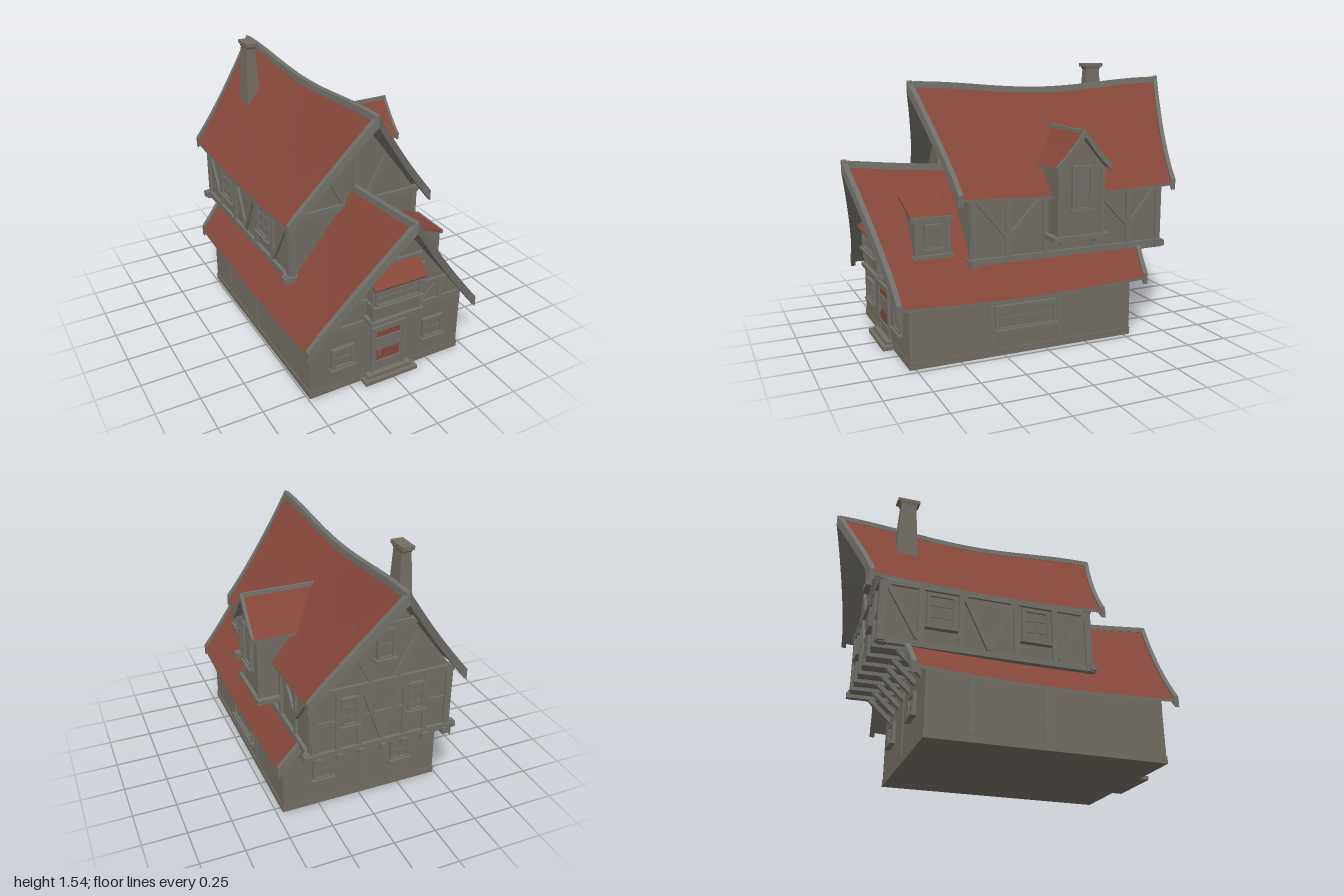
import * as THREE from 'three';

const mat = (name, color) => Object.assign(new THREE.MeshStandardMaterial({ color }), { name });
const CX = -0.013; // house centre line

export function createModel() {
  const wall = mat('plaster', 0x746e63);
  const timber = mat('timber', 0x72706a);
  const red = mat('roofTiles', 0x86473a);
  const house = new THREE.Group();
  house.name = 'house';

  const add = (parent, name, geo, material, x = 0, y = 0, z = 0) => {
    const m = new THREE.Mesh(geo, material);
    m.name = name;
    m.position.set(x, y, z);
    parent.add(m);
    return m;
  };
  const box = (p, name, w, h, d, x, y, z, m = timber) => add(p, name, new THREE.BoxGeometry(w, h, d), m, x, y, z);
  // straight timber between two points of a facade plane
  const beam = (p, name, x1, y1, x2, y2, w = 0.03, d = 0.03, z = 0) => {
    const b = box(p, name, Math.hypot(x2 - x1, y2 - y1), w, d, (x1 + x2) / 2, (y1 + y2) / 2, z);
    b.rotation.z = Math.atan2(y2 - y1, x2 - x1);
    return b;
  };
  // group whose local +z points out of a wall
  const face = (name, x, z, rot) => {
    const g = new THREE.Group();
    g.name = name;
    g.position.set(x, 0, z);
    g.rotation.y = rot;
    house.add(g);
    return g;
  };
  const prism = (p, name, pts, depth, z, m = wall) => add(p, name, new THREE.ExtrudeGeometry(
    new THREE.Shape(pts.map(([x, y]) => new THREE.Vector2(x, y))), { depth, bevelEnabled: false }), m, 0, 0, z);
  const gabled = (hw, y0, y1, apex) => [[CX - hw, y0], [CX + hw, y0], [CX + hw, y1], [CX, apex], [CX - hw, y1]];

  // framed window with glazing bars and a sill
  const windowAt = (p, x, y, w, h, cols = 2, rows = 2, z = 0) => {
    const g = new THREE.Group();
    g.name = 'window';
    g.position.set(x, y, z);
    p.add(g);
    box(g, 'pane', w, h, 0.008, 0, 0, 0.004, wall);
    for (const s of [-1, 1]) {
      box(g, 'jamb', 0.016, h, 0.03, s * (w / 2 - 0.008), 0, 0.005);
      box(g, 'rail', w, 0.016, 0.03, 0, s * (h / 2 - 0.008), 0.005);
    }
    for (let i = 1; i < cols; i++) box(g, 'mullion', 0.007, h, 0.02, (i / cols - 0.5) * w, 0, 0.003);
    for (let i = 1; i < rows; i++) box(g, 'transom', w, 0.007, 0.02, 0, (i / rows - 0.5) * h, 0.003);
    box(g, 'windowSill', w + 0.02, 0.014, 0.045, 0, -h / 2, 0.01);
  };

  // grid surface from a rule
  const sheet = (fn, nu, nv, flip) => {
    const pos = [], idx = [];
    for (let i = 0; i <= nu; i++) for (let j = 0; j <= nv; j++) pos.push(...fn(i / nu, j / nv));
    for (let i = 0; i < nu; i++) for (let j = 0; j < nv; j++) {
      const a = i * (nv + 1) + j, b = a + nv + 1;
      if (flip) idx.push(a, a + 1, b, b, a + 1, b + 1);
      else idx.push(a, b, a + 1, b, b + 1, a + 1);
    }
    const g = new THREE.BufferGeometry();
    g.setAttribute('position', new THREE.Float32BufferAttribute(pos, 3));
    g.setIndex(idx);
    g.computeVertexNormals();
    return g;
  };
  // rectangular trim swept along a path with fixed corner offsets
  const sweep = (path, offs) => {
    const pos = [], idx = [], n = path.length;
    path.forEach(p => offs.forEach(o => pos.push(p[0] + o[0], p[1] + o[1], p[2] + o[2])));
    for (let i = 0; i < n - 1; i++) for (let k = 0; k < 4; k++) {
      const a = i * 4 + k, b = i * 4 + (k + 1) % 4;
      idx.push(a, a + 4, b, a + 4, b + 4, b);
    }
    const e = (n - 1) * 4;
    idx.push(0, 1, 2, 0, 2, 3, e, e + 2, e + 1, e, e + 3, e + 2);
    const g = new THREE.BufferGeometry();
    g.setAttribute('position', new THREE.Float32BufferAttribute(pos, 3));
    g.setIndex(idx);
    const flat = g.toNonIndexed();
    flat.computeVertexNormals();
    return flat;
  };

  // swaybacked gable roof: curved slopes, barge boards and ridge cap
  const roof = (parent, name, o) => {
    const g = new THREE.Group();
    g.name = name;
    parent.add(g);
    const N = 14, T = 0.016;
    const at = (s, u, v) => {
      const sag = Math.sin(Math.PI * v);
      const yr = o.yr - o.sagR * Math.pow(sag, o.pow || 1), ye = o.ye - o.sagE * sag;
      const k = Math.pow(1 - u, 1.4);
      const zf = o.ze[0] + (o.zr[0] - o.ze[0]) * k, zb = o.ze[1] + (o.zr[1] - o.ze[1]) * k;
      return [o.cx + s * o.hw * u, yr + (ye - yr) * u - 0.012 * Math.sin(Math.PI * u), zf + (zb - zf) * v];
    };
    const low = ([x, y, z]) => [x, y - T, z];
    for (const s of [-1, 1]) {
      add(g, 'tiles', sheet((u, v) => at(s, u, v), N, 24, s < 0), red);
      add(g, 'soffit', sheet((u, v) => low(at(s, u, v)), N, 24, s > 0), timber);
      add(g, 'eaveEdge', sheet((u, v) => u ? low(at(s, 1, v)) : at(s, 1, v), 1, 24, s < 0), timber);
    }
    const t = o.trim;
    for (const v of o.ends) {
      const path = [];
      for (let i = -N; i <= N; i++) path.push(at(Math.sign(i), Math.abs(i) / N, v));
      add(g, 'bargeBoard', sweep(path, [[0, t, t * 0.7], [0, t, -t * 0.7], [0, -t * 2.2, -t * 0.7], [0, -t * 2.2, t * 0.7]]), timber);
    }
    const ridge = [];
    for (let j = 0; j <= 24; j++) ridge.push(at(1, 0, j / 24));
    add(g, 'ridgeCap', sweep(ridge, [[t * 0.7, t * 0.7, 0], [-t * 0.7, t * 0.7, 0], [-t * 0.9, -t, 0], [t * 0.9, -t, 0]]), timber);
  };

  // ground floor
  prism(house, 'groundFloor', gabled(0.473, 0, 0.36, 0.92), 1.32, -0.54);
  prism(house, 'frontGable', gabled(0.473, 0.3, 0.385, 0.985), 0.03, 0.752);
  box(house, 'plinth', 0.956, 0.04, 1.326, CX, 0.02, 0.12, wall);
  roof(house, 'lowerRoof', { cx: CX, hw: 0.525, yr: 1.033, ye: 0.352, zr: [0.985, -0.75], ze: [0.843, -0.612],
    sagR: 0.06, sagE: 0.025, trim: 0.02, ends: [0, 1] });

  // upper floor
  prism(house, 'upperFloor', gabled(0.393, 0.5, 0.87, 1.37), 1.17, -0.77);
  prism(house, 'upperFrontGable', gabled(0.393, 0.8, 0.88, 1.405), 0.02, 0.381);
  prism(house, 'upperBackGable', gabled(0.393, 0.8, 0.88, 1.405), 0.02, -0.771);
  roof(house, 'upperRoof', { cx: CX, hw: 0.443, yr: 1.448, ye: 0.872, zr: [0.61, -0.983], ze: [0.477, -0.837],
    sagR: 0.045, sagE: 0.022, pow: 2, trim: 0.02, ends: [0, 1] });

  // ground floor front: door, windows, framing and bay
  const front = face('front', CX, 0.78, 0);
  box(front, 'lowerStep', 0.33, 0.022, 0.065, 0, 0.011, 0.03, wall);
  box(front, 'upperStep', 0.28, 0.02, 0.04, 0, 0.031, 0.02, wall);
  box(front, 'door', 0.18, 0.27, 0.012, 0, 0.175, 0.002);
  for (const s of [-1, 1]) {
    box(front, 'doorJamb', 0.022, 0.29, 0.03, s * 0.098, 0.185, 0);
    windowAt(front, s * 0.287, 0.215, 0.135, 0.13);
    beam(front, 'stud', s * 0.32, 0.4, s * 0.32, 0.52);
    beam(front, 'gableStrut', s * 0.2, 0.53, s * 0.2, 0.66);
    beam(front, 'gableBrace', s * 0.33, 0.53, s * 0.21, 0.41, 0.022, 0.02);
  }
  box(front, 'doorLintel', 0.22, 0.024, 0.034, 0, 0.322, 0);
  box(front, 'upperDoorPanel', 0.145, 0.035, 0.006, 0, 0.28, 0.008, red);
  box(front, 'lowerDoorPanel', 0.145, 0.065, 0.006, 0, 0.142, 0.008, red);
  for (const y of [0.252, 0.1]) box(front, 'doorStrap', 0.16, 0.014, 0.016, 0, y, 0.008);
  box(front, 'doorHandle', 0.008, 0.035, 0.03, -0.062, 0.17, 0.01);
  beam(front, 'floorBeam', -0.45, 0.393, 0.45, 0.393);
  beam(front, 'tieBeam', -0.36, 0.52, 0.36, 0.52);
  beam(front, 'collarBeam', -0.19, 0.716, 0.19, 0.716);
  beam(front, 'kingPost', 0, 0.72, 0, 0.97);
  const bay = new THREE.Group();
  bay.name = 'bayWindow';
  front.add(bay);
  box(bay, 'bayBody', 0.28, 0.24, 0.07, 0, 0.54, 0.035, wall);
  box(bay, 'baySill', 0.325, 0.022, 0.09, 0, 0.421, 0.045);
  box(bay, 'bayRail', 0.305, 0.018, 0.09, 0, 0.52, 0.042);
  windowAt(bay, 0, 0.575, 0.28, 0.105, 6, 2, 0.07);
  for (const s of [-1, 1]) box(bay, 'bayPost', 0.02, 0.22, 0.02, s * 0.14, 0.54, 0.068);
  box(bay, 'bayHead', 0.315, 0.014, 0.09, 0, 0.638, 0.05);
  box(bay, 'bayRoof', 0.32, 0.012, 0.12, 0, 0.675, 0.06, red).rotation.x = 0.6;

  // ground floor sides and back
  const right = face('rightGround', CX + 0.473, 0, Math.PI / 2);
  windowAt(right, -0.125, 0.215, 0.36, 0.14, 6, 2);
  const left = face('leftGround', CX - 0.473, 0, -Math.PI / 2);
  for (const [f, xs] of [[right, [-0.32, 0.085]], [left, [-0.3, 0.1]]])
    for (const x of xs) beam(f, 'wallPost', x, 0.04, x, 0.37, 0.028, 0.012);
  const back = face('backGround', CX, -0.54, Math.PI);
  for (const s of [-1, 1]) windowAt(back, s * 0.24, 0.24, 0.12, 0.13);
  beam(back, 'wallPost', 0, 0.04, 0, 0.48, 0.028, 0.012);

  // joists and struts carrying the rear overhang
  for (let i = 0; i < 7; i++) {
    const x = CX - 0.37 + i * 0.74 / 6;
    box(house, 'joist', 0.032, 0.035, 0.29, x, 0.495, -0.66);
    const strut = box(house, 'joistStrut', 0.026, 0.026, 0.2, x, 0.43, -0.61);
    strut.rotation.x = 0.75;
  }

  // upper floor framing on both gable ends
  const upFront = face('upperFront', CX, 0.4, 0);
  const upBack = face('upperBack', CX, -0.77, Math.PI);
  for (const f of [upFront, upBack]) {
    beam(f, 'sillBeam', -0.44, 0.515, 0.44, 0.515, 0.034, 0.04);
    beam(f, 'tieBeam', -0.41, 0.88, 0.41, 0.88, 0.035, 0.034);
    for (const s of [-1, 1]) {
      beam(f, 'cornerPost', s * 0.383, 0.5, s * 0.383, 0.89, 0.035);
      beam(f, 'gableBrace', s * 0.19, 1.13, s * 0.07, 0.9, 0.028);
    }
  }
  beam(upFront, 'kingPost', 0, 0.88, 0, 1.39, 0.038);
  windowAt(upBack, 0, 1.1, 0.1, 0.17, 2, 2, 0.005);
  beam(upBack, 'collarBeam', -0.17, 1.2, 0.17, 1.2, 0.028);
  beam(upBack, 'shortKingPost', 0, 1.2, 0, 1.38);
  beam(upBack, 'middleRail', -0.38, 0.7, 0.38, 0.7, 0.02, 0.02);
  for (const s of [-1, 1]) {
    beam(upBack, 'stud', s * 0.13, 0.53, s * 0.13, 0.87);
    beam(upBack, 'stud', s * 0.25, 0.53, s * 0.25, 0.87);
    beam(upBack, 'brace', s * 0.115, 0.86, 0, 0.54, 0.024);
    windowAt(upBack, s * 0.19, 0.75, 0.1, 0.17, 2, 3);
  }

  // upper floor framing on both long sides
  for (const s of [-1, 1]) {
    const f = face(s > 0 ? 'upperRight' : 'upperLeft', CX + s * 0.393, -0.185, s * Math.PI / 2);
    beam(f, 'sillBeam', -0.61, 0.515, 0.61, 0.515, 0.034, 0.04);
    beam(f, 'topPlate', -0.59, 0.85, 0.59, 0.85, 0.026);
    for (const e of [-1, 1]) {
      for (const x of [0.575, 0.377, 0.155]) beam(f, 'post', e * x, 0.51, e * x, 0.86);
      box(f, 'beamEnd', 0.04, 0.045, 0.06, e * 0.575, 0.515, 0.005);
      if (s > 0) {
        beam(f, 'brace', e * 0.55, 0.84, e * 0.385, 0.64, 0.025);
        beam(f, 'brace', e * 0.18, 0.84, e * 0.37, 0.64, 0.025);
      } else {
        beam(f, 'brace', e * 0.56, 0.84, e * 0.39, 0.55, 0.025);
        windowAt(f, e * 0.266, 0.72, 0.16, 0.2, 2, 3);
      }
    }
    if (s < 0) {
      beam(f, 'brace', -0.14, 0.84, 0, 0.54, 0.025);
      beam(f, 'brace', 0.14, 0.84, 0, 0.54, 0.025);
    }
  }

  // tall gabled dormer on the right
  const dormer = face('gabledDormer', 0, -0.187, Math.PI / 2);
  prism(dormer, 'dormerBody', [[-0.14, 0.63], [0.14, 0.63], [0.14, 1.01], [0, 1.17], [-0.14, 1.01]], 0.36, 0.145);
  box(dormer, 'dormerSill', 0.34, 0.028, 0.16, 0, 0.625, 0.445);
  for (const s of [-1, 1]) {
    box(dormer, 'dormerPost', 0.022, 0.38, 0.022, s * 0.132, 0.82, 0.5);
    box(dormer, 'sillBracket', 0.028, 0.03, 0.14, s * 0.11, 0.605, 0.44);
  }
  windowAt(dormer, 0, 0.9, 0.125, 0.245, 1, 1, 0.505);
  box(dormer, 'innerCasement', 0.07, 0.19, 0.014, 0, 0.9, 0.51);
  roof(dormer, 'dormerRoof', { cx: 0, hw: 0.168, yr: 1.205, ye: 1.015, zr: [0.537, 0.13], ze: [0.537, 0.13],
    sagR: 0, sagE: 0, trim: 0.012, ends: [0] });

  // small shed dormer on the lower roof
  const shed = new THREE.Group();
  shed.name = 'shedDormer';
  house.add(shed);
  prism(shed, 'shedBody', [[0.1, 0.56], [0.335, 0.56], [0.335, 0.765], [0.1, 0.845]], 0.195, 0.508);
  const lid = box(shed, 'shedRoof', 0.265, 0.014, 0.23, 0.222, 0.812, 0.607, red);
  lid.rotation.z = -0.33;
  box(shed, 'shedEave', 0.014, 0.02, 0.235, 0.346, 0.768, 0.607);
  box(shed, 'shedSill', 0.04, 0.02, 0.225, 0.335, 0.562, 0.607);
  const shedFront = face('shedFront', 0.335, 0.607, Math.PI / 2);
  windowAt(shedFront, 0, 0.67, 0.09, 0.135, 2, 1);
  for (const s of [-1, 1]) beam(shedFront, 'shedPost', s * 0.088, 0.56, s * 0.088, 0.76, 0.022, 0.022);

  // tapered chimney
  const taper = (w, h, d, k) => {
    const g = new THREE.BoxGeometry(w, h, d), p = g.attributes.position;
    for (let i = 0; i < p.count; i++) if (p.getY(i) > 0) p.setXYZ(i, p.getX(i) * k, p.getY(i), p.getZ(i) * k);
    g.computeVertexNormals();
    return g;
  };
  add(house, 'chimneyStack', taper(0.092, 0.46, 0.14, 0.6), wall, -0.171, 1.29, -0.612);
  add(house, 'chimneyCollar', taper(0.054, 0.02, 0.09, 1.2), wall, -0.171, 1.517, -0.612);
  box(house, 'chimneyCap', 0.068, 0.02, 0.13, -0.171, 1.535, -0.612, wall);
  return house;
}
